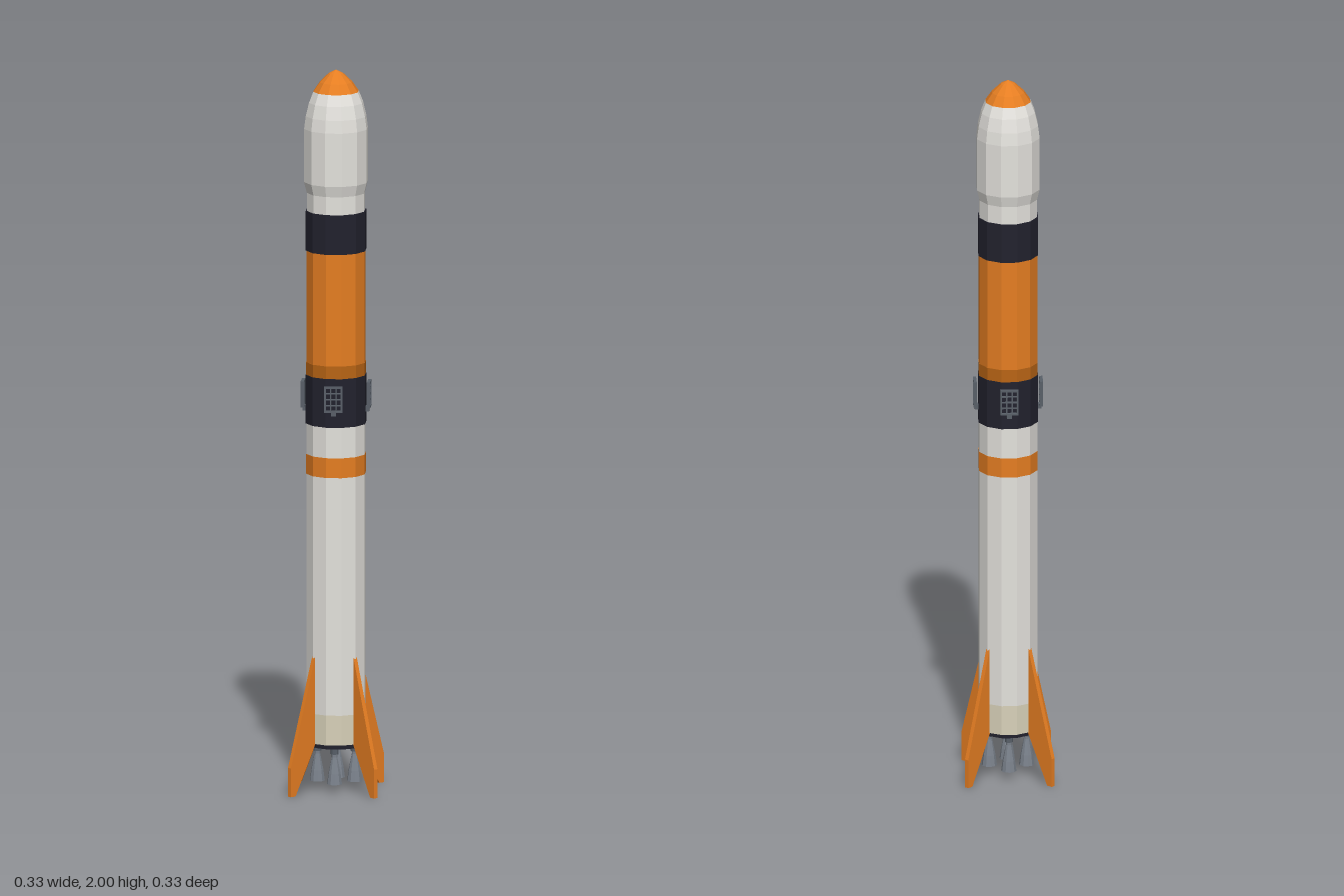
import * as THREE from 'three';

const SIDES = 12;

export function createModel() {
  const paint = (name, color) => {
    const m = new THREE.MeshStandardMaterial({ color, flatShading: true });
    m.name = name;
    return m;
  };
  const white = paint('white', 0xe4e2dd);
  const orange = paint('orange', 0xe67e22);
  const darkOrange = paint('dark orange', 0xba6515);
  const black = paint('dark navy', 0x22222e);
  const beige = paint('beige', 0xd9d2ba);
  const metal = paint('metal', 0x7b828c);
  const darkMetal = paint('dark metal', 0x596069);

  const rocket = new THREE.Group();
  rocket.name = 'rocket';

  const add = (parent, name, geometry, material, x = 0, y = 0, z = 0) => {
    const mesh = new THREE.Mesh(geometry, material);
    mesh.name = name;
    mesh.position.set(x, y, z);
    parent.add(mesh);
    return mesh;
  };
  // Faceted solid of revolution from [radius, y] pairs, bottom to top
  const turned = (parent, name, material, points, sides = SIDES) =>
    add(parent, name, new THREE.LatheGeometry(points.map(([r, y]) => new THREE.Vector2(r, y)), sides), material);
  // Straight closed section of the body
  const section = (name, material, r, y0, y1) =>
    add(rocket, name, new THREE.CylinderGeometry(r, r, y1 - y0, SIDES), material, 0, (y0 + y1) / 2, 0);

  // Body stack
  section('engineBase', black, 0.072, 0.124, 0.14);
  section('aftSkirt', beige, 0.082, 0.137, 0.22);
  section('lowerBooster', white, 0.082, 0.22, 0.88);
  section('boosterStripe', orange, 0.0825, 0.88, 0.935);
  section('upperBooster', white, 0.082, 0.935, 1.02);
  section('interstage', black, 0.084, 1.02, 1.155);
  section('stageCollar', darkOrange, 0.083, 1.155, 1.19);
  section('upperStage', orange, 0.082, 1.19, 1.5);
  section('payloadBand', black, 0.084, 1.5, 1.61);
  section('payloadAdapter', white, 0.081, 1.61, 1.665);

  // Fairing and nose tip
  turned(rocket, 'fairing', white, [
    [0, 1.66], [0.081, 1.66], [0.0885, 1.69], [0.0885, 1.838], [0.084, 1.873], [0.075, 1.91], [0.063, 1.94],
  ]);
  turned(rocket, 'noseTip', orange, [[0.063, 1.94], [0.045, 1.966], [0.02, 1.99], [0, 2]]);

  // Tail fins
  const finShape = new THREE.Shape([
    [0.07, 0.4], [0.08, 0.38], [0.167, 0.08], [0.167, 0], [0.15, 0], [0.08, 0.135], [0.07, 0.145],
  ].map(([x, y]) => new THREE.Vector2(x, y)));
  const finGeometry = new THREE.ExtrudeGeometry(finShape, { depth: 0.012, bevelEnabled: false });
  finGeometry.translate(0, 0, -0.006);
  for (let i = 0; i < 4; i++) {
    add(rocket, 'tailFin', finGeometry, orange).rotation.y = (i * Math.PI) / 2;
  }

  for (let i = 0; i < 4; i++) {
    const angle = Math.PI / 4 + (i * Math.PI) / 2;

    // Engine with mount and bell
    const engine = new THREE.Group();
    engine.name = 'engine';
    engine.position.set(Math.sin(angle) * 0.051, 0, Math.cos(angle) * 0.051);
    turned(engine, 'engineMount', darkMetal, [[0, 0.108], [0.011, 0.108], [0.011, 0.128]], 10);
    turned(engine, 'bell', metal, [
      [0, 0.08], [0.015, 0.025], [0.021, 0.025], [0.017, 0.055], [0.012, 0.08], [0.008, 0.1], [0.008, 0.11],
    ], 10);
    rocket.add(engine);

    // Lattice steering fin
    const grid = new THREE.Group();
    grid.name = 'gridFin';
    grid.rotation.y = angle;
    const bar = (name, w, h, d, x, y, z) =>
      add(grid, name, new THREE.BoxGeometry(w, h, d), darkMetal, x, y, z);
    for (const s of [-1, 1]) {
      bar('gridSide', 0.005, 0.072, 0.009, s * 0.0225, 1.1, 0.0905);
      bar('gridEnd', 0.05, 0.005, 0.009, 0, 1.1 + s * 0.0335, 0.0905);
      bar('gridUpright', 0.003, 0.064, 0.006, s * 0.0075, 1.1, 0.0905);
    }
    for (let k = -1; k <= 1; k++) bar('gridRung', 0.042, 0.003, 0.006, 0, 1.1 + k * 0.0165, 0.0905);
    bar('gridHinge', 0.014, 0.014, 0.014, 0, 1.06, 0.084);
    rocket.add(grid);
  }

  return rocket;
}
